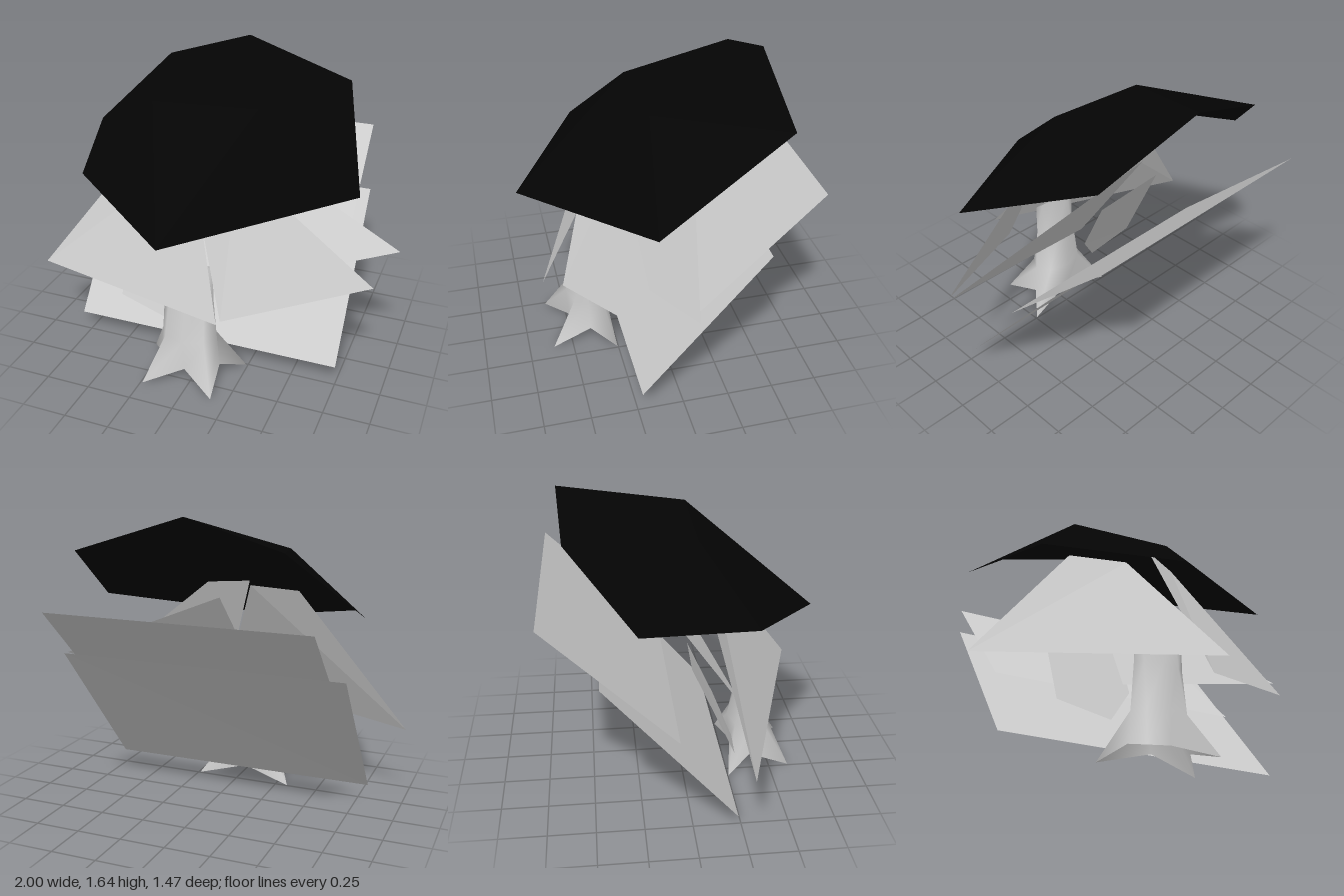
import * as THREE from 'three';

const pale = new THREE.MeshStandardMaterial({ color: 0xcccccc, side: THREE.DoubleSide });
pale.name = 'pale grey';
const black = new THREE.MeshStandardMaterial({ color: 0x040404, side: THREE.DoubleSide });
black.name = 'black';

// Mesh from corner points and triangle indices
function surface(name, points, faces, material, flat = true) {
  let geometry = new THREE.BufferGeometry();
  geometry.setAttribute('position', new THREE.Float32BufferAttribute(points.flat(), 3));
  geometry.setIndex(faces.flat());
  if (flat) geometry = geometry.toNonIndexed();
  geometry.computeVertexNormals();
  const mesh = new THREE.Mesh(geometry, material);
  mesh.name = name;
  return mesh;
}

// Thin convex sheet, filled as a fan from its first corner
function sheet(name, points) {
  const faces = [];
  for (let i = 1; i < points.length - 1; i++) faces.push([0, i, i + 1]);
  return surface(name, points, faces, pale);
}

// Trunk: eight-sided rings, with four root tips around an arched base
function trunk() {
  const sides = 8, cx = -0.045;
  const points = [
    [0.13, 0.07, 0.39], [0.16, 0, 0.61], [-0.04, 0.06, 0.49], [-0.24, 0, 0.61],
    [-0.22, 0.07, 0.39], [-0.32, 0, 0.255], [-0.04, 0.07, 0.3], [0.24, 0, 0.255],
  ];
  const rings = [ // height, half width, half depth, centre z
    [0.24, 0.16, 0.11, 0.39],
    [0.5, 0.14, 0.045, 0.39],
    [0.68, 0.14, 0.008, 0.39],
  ];
  for (const [y, hx, hz, cz] of rings) {
    for (let i = 0; i < sides; i++) {
      const a = (i / sides) * Math.PI * 2;
      points.push([cx + hx * Math.cos(a), y, cz + hz * Math.sin(a)]);
    }
  }
  const faces = [];
  for (let r = 0; r < rings.length; r++) {
    for (let i = 0; i < sides; i++) {
      const a = r * sides + i, b = r * sides + (i + 1) % sides;
      faces.push([a, a + sides, b], [b, a + sides, b + sides]);
    }
  }
  return surface('trunk', points, faces, pale, false);
}

// Canopy: open faceted shell, seven rim corners around a short ridge
function canopy() {
  const points = [
    [-0.07, 0.93, 0.73], [0.79, 1.10, 0.15], [0.55, 1.45, -0.59], [-0.07, 1.64, -0.63],
    [-0.56, 1.49, -0.60], [-0.87, 1.15, -0.27], [-0.68, 1.07, 0.33],
    [0.22, 1.46, 0.06], [-0.38, 1.43, 0.06],
  ];
  const R = 7, L = 8;
  const faces = [[R, 3, L], [L, 0, R]];
  for (let i = 0; i < 7; i++) faces.push([i < 3 ? R : L, i, (i + 1) % 7]);
  return surface('canopy', points, faces, black);
}

export function createModel() {
  const model = new THREE.Group();
  model.name = 'tree';
  model.add(
    trunk(),
    canopy(),
    // Foliage sheets under the canopy
    sheet('rightLeaf', [[-1, 0.43, 0.27], [0.21, 0.515, 0.65], [-0.11, 1.2, 0.17], [-0.42, 1.2, 0.09]]),
    sheet('leftLeaf', [[0.19, 0.46, 0.54], [0.9, 0.6, 0.165], [0.16, 1.2, 0.2], [-0.05, 1.2, 0.32]]),
    sheet('rearLeaf', [[-0.22, 0.39, 0.34], [0.995, 0.75, 0], [-0.1, 1.2, -0.26]]),
    sheet('lowerLeaf', [[-0.53, 0.29, 0.245], [-0.25, 0.22, 0.276], [-0.1, 0.42, 0.186],
      [-0.1, 0.74, 0.04], [-0.53, 0.8, 0.015]]),
    // Large sloping panels behind
    sheet('lowerBackPanel', [[-0.81, 0.09, 0.225], [0.74, 0.09, 0.22], [0.73, 0.87, -0.45], [-0.83, 0.87, -0.455]]),
    sheet('upperBackPanel', [[-0.74, 0.5, -0.065], [0.67, 0.5, -0.06], [0.665, 1.15, -0.735], [-0.75, 1.15, -0.74]]),
  );
  return model;
}
